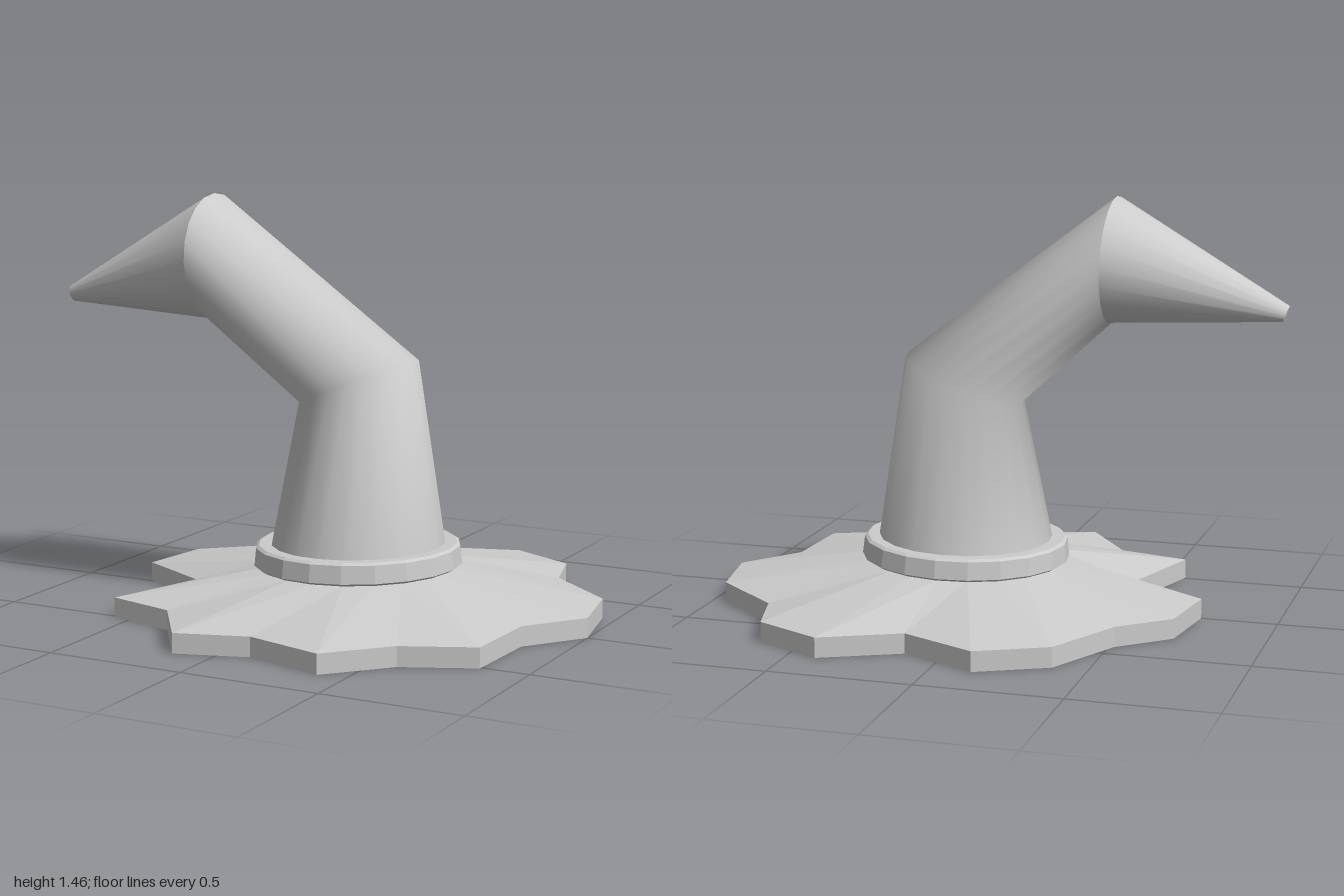
import * as THREE from 'three';

const SIDES = 20;
const CENTRE_X = 0.13;

// Ring of points: centre + u * cos + v * sin
function ring(c, u, v) {
  return Array.from({ length: SIDES }, (_, j) => {
    const t = (j / SIDES) * Math.PI * 2;
    return new THREE.Vector3(...c)
      .addScaledVector(new THREE.Vector3(...u), Math.cos(t))
      .addScaledVector(new THREE.Vector3(...v), Math.sin(t));
  });
}

const circle = (r, y) => ring([CENTRE_X, y, 0], [r, 0, 0], [0, 0, r]);

// Skin a stack of equal-length loops, optionally capping either end
function skin(name, loops, { flat = false, capStart = false, capEnd = false } = {}) {
  const n = loops[0].length;
  const points = loops.flat();
  const index = [];
  for (let i = 0; i < loops.length - 1; i++) {
    for (let j = 0; j < n; j++) {
      const a = i * n + j, b = i * n + ((j + 1) % n);
      index.push(a, a + n, b, b, a + n, b + n);
    }
  }
  const cap = (loop, up) => {
    const start = points.length;
    const mid = new THREE.Vector3();
    loop.forEach((p) => mid.addScaledVector(p, 1 / n));
    points.push(mid, ...loop);
    for (let j = 0; j < n; j++) {
      const a = start + 1 + j, b = start + 1 + ((j + 1) % n);
      index.push(start, up ? b : a, up ? a : b);
    }
  };
  if (capStart) cap(loops[0], false);
  if (capEnd) cap(loops[loops.length - 1], true);

  let geometry = new THREE.BufferGeometry().setFromPoints(points);
  geometry.setIndex(index);
  if (flat) geometry = geometry.toNonIndexed();
  geometry.computeVertexNormals();
  const material = new THREE.MeshStandardMaterial({ color: 0xcccccc, flatShading: flat });
  const mesh = new THREE.Mesh(geometry, material);
  mesh.name = name;
  return mesh;
}

export function createModel() {
  const group = new THREE.Group();
  group.name = 'pointedHat';

  // Ragged brim outline, x and z about the crown axis
  const outline = [
    [0.87, 0], [0.715, 0.205], [0.70, 0.51], [0.455, 0.62], [0.27, 0.82],
    [-0.02, 0.74], [-0.27, 0.82], [-0.44, 0.575], [-0.695, 0.51], [-0.58, 0.15],
    [-0.86, 0], [-0.82, -0.27], [-0.65, -0.42], [-0.51, -0.70], [-0.27, -0.82],
    [0, -0.69], [0.27, -0.82], [0.51, -0.70], [0.57, -0.48], [0.82, -0.27],
  ];
  const edge = (y) => outline.map(([x, z]) => new THREE.Vector3(CENTRE_X + x, y, z));
  group.add(skin('brim', [edge(0), edge(0.07), circle(0.33, 0.16)],
    { flat: true, capStart: true, capEnd: true }));

  // Band, tilted very slightly
  const band = skin('band', [
    circle(0.31, 0.163), circle(0.355, 0.163), circle(0.37, 0.172),
    circle(0.363, 0.235), circle(0.352, 0.243), circle(0.30, 0.243),
  ], { flat: true });
  band.geometry.translate(-CENTRE_X, -0.2, 0).rotateZ(0.02).translate(CENTRE_X, 0.2, 0);
  group.add(band);

  // Crown: tapered base, mitred bend, then the leaning middle
  const foldRing = ring([-0.382, 1.2375, 0.1], [-0.008, 0.2225, 0], [0, 0, 0.225]);
  group.add(skin('crown', [
    circle(0.325, 0.15),
    ring([0.1325, 0.815, 0], [0.2075, 0.0825, 0], [0, 0, 0.225]),
    foldRing,
  ]));

  // Drooping point with a small blunt end
  const tipRing = ring([-0.99, 1.073, 0.098], [-0.01, 0.028, 0], [0, 0, 0.028]);
  group.add(skin('tip', [foldRing, tipRing], { capEnd: true }));

  return group;
}
